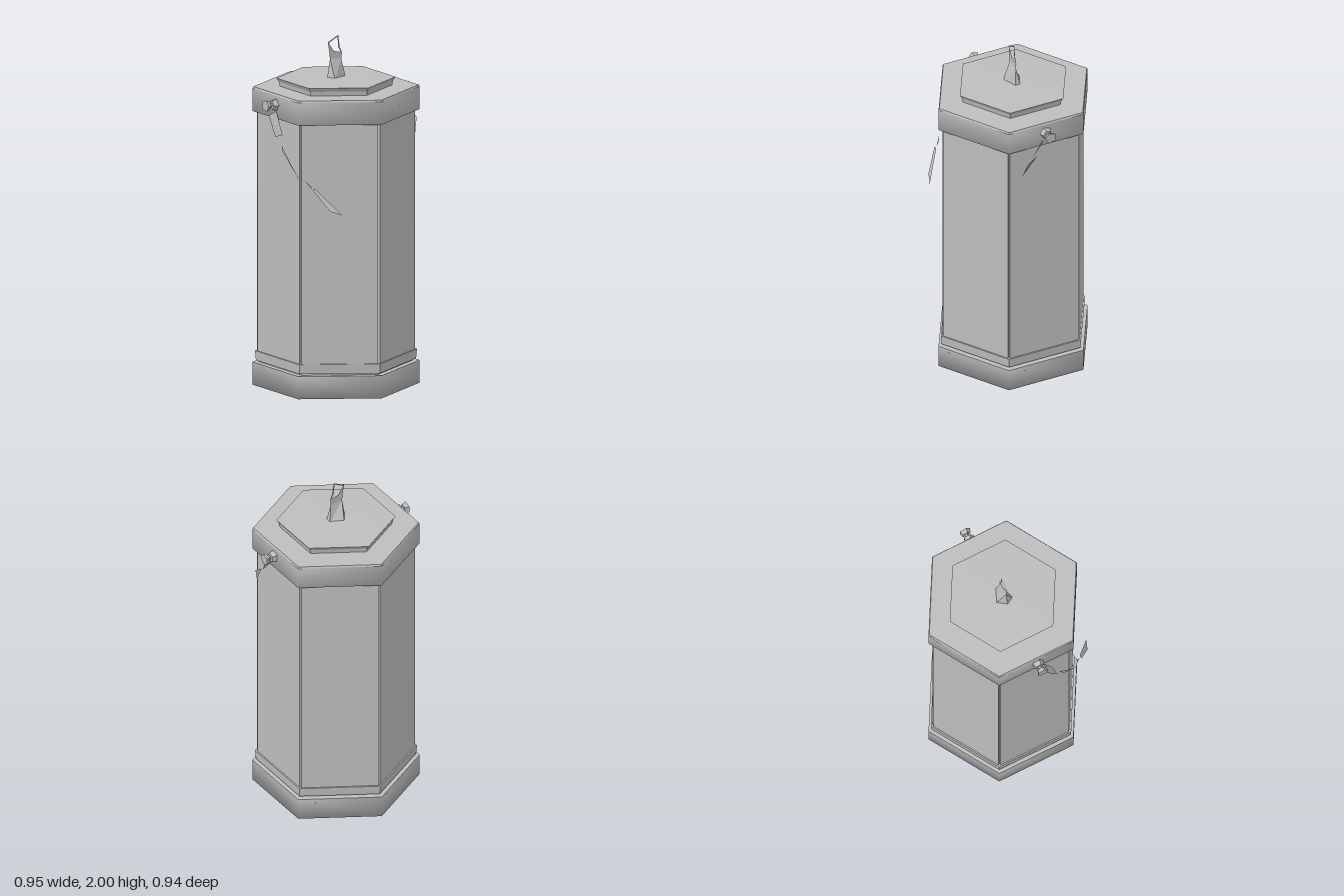
import * as THREE from 'three';

const stone = new THREE.MeshStandardMaterial({ color: 0xbdbdbd, side: THREE.DoubleSide });
stone.name = 'grey';

export function createModel() {
  const model = new THREE.Group();
  const add = (name, geometry, parent = model) => {
    const mesh = new THREE.Mesh(geometry, stone);
    mesh.name = name;
    parent.add(mesh);
    return mesh;
  };
  const flat = (geometry) => {
    const g = geometry.index ? geometry.toNonIndexed() : geometry;
    g.computeVertexNormals();
    return g;
  };
  // Six-sided solid turned from [radius, y] pairs, corners on the z axis
  const hex = (profile) => new THREE.LatheGeometry(profile.map((p) => new THREE.Vector2(...p)), 6);
  // Thin broken piece through a fan of points
  const shard = (name, points, parent) => {
    const g = new THREE.BufferGeometry();
    g.setAttribute('position', new THREE.Float32BufferAttribute(points.flat(), 3));
    const index = [];
    for (let i = 1; i < points.length - 1; i++) index.push(0, i, i + 1);
    g.setIndex(index);
    return add(name, flat(g), parent);
  };

  // Foot: softly shaded sides and underside, crisp top
  add('foot', hex([[0, 0], [0.47, 0], [0.47, 0.13]]));
  add('footTop', flat(hex([[0.47, 0.13], [0, 0.13]])));
  add('footRing', flat(hex([[0, 0.14], [0.45, 0.14], [0.455, 0.195], [0, 0.195]])));

  // Body: core with six panels that leave narrow grooves at the corners
  add('bodyCore', flat(hex([[0.432, 0.12], [0.432, 1.6]])));
  for (let i = 0; i < 6; i++) {
    const a = Math.PI / 6 + (i * Math.PI) / 3;
    const panel = add('bodyPanel', new THREE.BoxGeometry(0.432, 1.39, 0.015));
    panel.position.set(Math.sin(a) * 0.3785, 0.88, Math.cos(a) * 0.3785);
    panel.rotation.y = a;
  }

  // Cap band and its top
  add('capBand', hex([[0.4, 1.57], [0.47, 1.57], [0.47, 1.7]]));
  add('capTop', flat(hex([[0.47, 1.7], [0.465, 1.71], [0, 1.71]])));

  // Lid flares to a thin rim, with a barely domed top
  add('lidEdge', flat(hex([[0.315, 1.71], [0.32, 1.735], [0.335, 1.757]])));
  add('lidTop', hex([[0.335, 1.757], [0, 1.765]]));

  // Finial: faceted stub below a flat broken loop
  const finial = new THREE.Group();
  finial.name = 'finial';
  model.add(finial);
  const stubBase = [[-0.06, 0], [-0.035, 0.045], [0.055, 0.015], [0.055, -0.02], [-0.02, -0.055]];
  const tips = [[-0.04, 1.87, 0], [0.035, 1.86, 0]];
  stubBase.forEach(([x, z], i) => {
    const [nx, nz] = stubBase[(i + 1) % 5];
    const here = tips[x < 0 ? 0 : 1], next = tips[nx < 0 ? 0 : 1];
    const points = [[x, 1.755, z], [nx, 1.755, nz], next];
    if (here !== next) points.push(here);
    shard('finialStub', points, finial);
  });
  const outer = [[-0.04, 1.86], [0.035, 1.86], [0.04, 1.895], [0.025, 1.93], [0.015, 2], [-0.055, 1.965], [-0.045, 1.91]];
  const inner = [[-0.015, 1.91], [0.03, 1.9], [0.015, 1.93], [0.01, 1.99], [-0.048, 1.96]];
  const loop = new THREE.Shape(outer.map((p) => new THREE.Vector2(...p)));
  loop.holes.push(new THREE.Path(inner.map((p) => new THREE.Vector2(...p))));
  add('finialLoop', new THREE.ShapeGeometry(loop), finial);

  // Side knobs: two five-sided studs on a pin
  for (const side of [-1, 1]) {
    const knob = new THREE.Group();
    knob.name = side < 0 ? 'rightKnob' : 'leftKnob';
    knob.position.set(side * 0.41, 1.65, 0.006);
    model.add(knob);
    for (const [x, length, inR, outR] of [[0.013, 0.028, 0.035, 0.028], [0.055, 0.024, 0.026, 0.035], [0.02, 0.06, 0.012, 0.012]]) {
      const stud = add('stud', flat(new THREE.CylinderGeometry(outR, inR, length, 5)), knob);
      stud.rotation.z = -side * Math.PI / 2;
      stud.position.x = side * x;
    }
  }

  // Remains of the carrying handle, short on the left and long on the right
  const handle = new THREE.Group();
  handle.name = 'brokenHandle';
  model.add(handle);
  [
    [[0.415, 1.6, 0.03], [0.445, 1.625, 0.035], [0.44, 1.58, 0.06], [0.425, 1.51, 0.1]],
    [[0.45, 1.54, 0.075], [0.455, 1.5, 0.13], [0.425, 1.41, 0.16], [0.43, 1.48, 0.13]],
    [[-0.473, 1.6, 0.035], [-0.425, 1.62, 0.04], [-0.42, 1.49, 0.095], [-0.472, 1.49, 0.1]],
    [[-0.455, 1.41, 0.15], [-0.445, 1.44, 0.125], [-0.43, 1.35, 0.19], [-0.402, 1.24, 0.26]],
    [[-0.39, 1.26, 0.265], [-0.36, 1.23, 0.285], [-0.355, 1.21, 0.3]],
    [[-0.36, 1.21, 0.31], [-0.34, 1.21, 0.31], [-0.225, 1.065, 0.41], [-0.29, 1.09, 0.385]],
  ].forEach((points) => shard('handlePiece', points, handle));

  return model;
}
